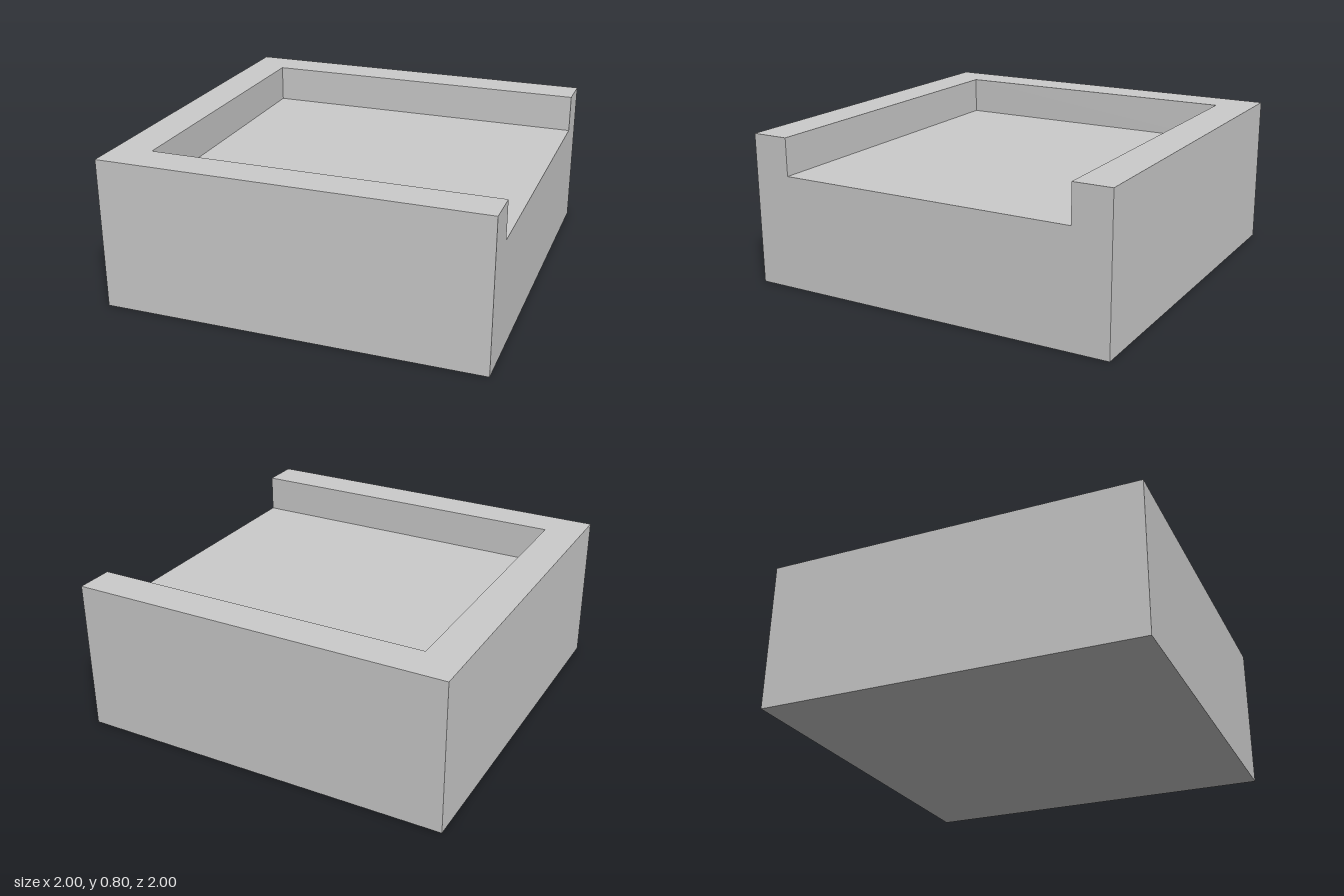
import * as THREE from 'three';

const HALF = 1;        // half of the square footprint
const WALL = 0.2;      // rim thickness
const FLOOR = 0.6;     // height of the recessed floor
const RIM = 0.2;       // rim height above the floor

export function createModel() {
  const group = new THREE.Group();
  group.name = 'openTray';
  const material = new THREE.MeshStandardMaterial({ color: 0xcccccc, flatShading: true });

  // Solid block below the recess
  const base = new THREE.Mesh(new THREE.BoxGeometry(2 * HALF, FLOOR, 2 * HALF), material);
  base.name = 'base';
  base.position.y = FLOOR / 2;
  group.add(base);

  // U-shaped rim, open on the +x side
  const inner = HALF - WALL;
  const outline = new THREE.Shape([
    [-HALF, -HALF], [HALF, -HALF], [HALF, -inner], [-inner, -inner],
    [-inner, inner], [HALF, inner], [HALF, HALF], [-HALF, HALF],
  ].map(([x, y]) => new THREE.Vector2(x, y)));
  const rimGeometry = new THREE.ExtrudeGeometry(outline, { depth: RIM, bevelEnabled: false });
  rimGeometry.rotateX(-Math.PI / 2);
  const rim = new THREE.Mesh(rimGeometry, material);
  rim.name = 'rim';
  rim.position.y = FLOOR;
  group.add(rim);

  return group;
}
